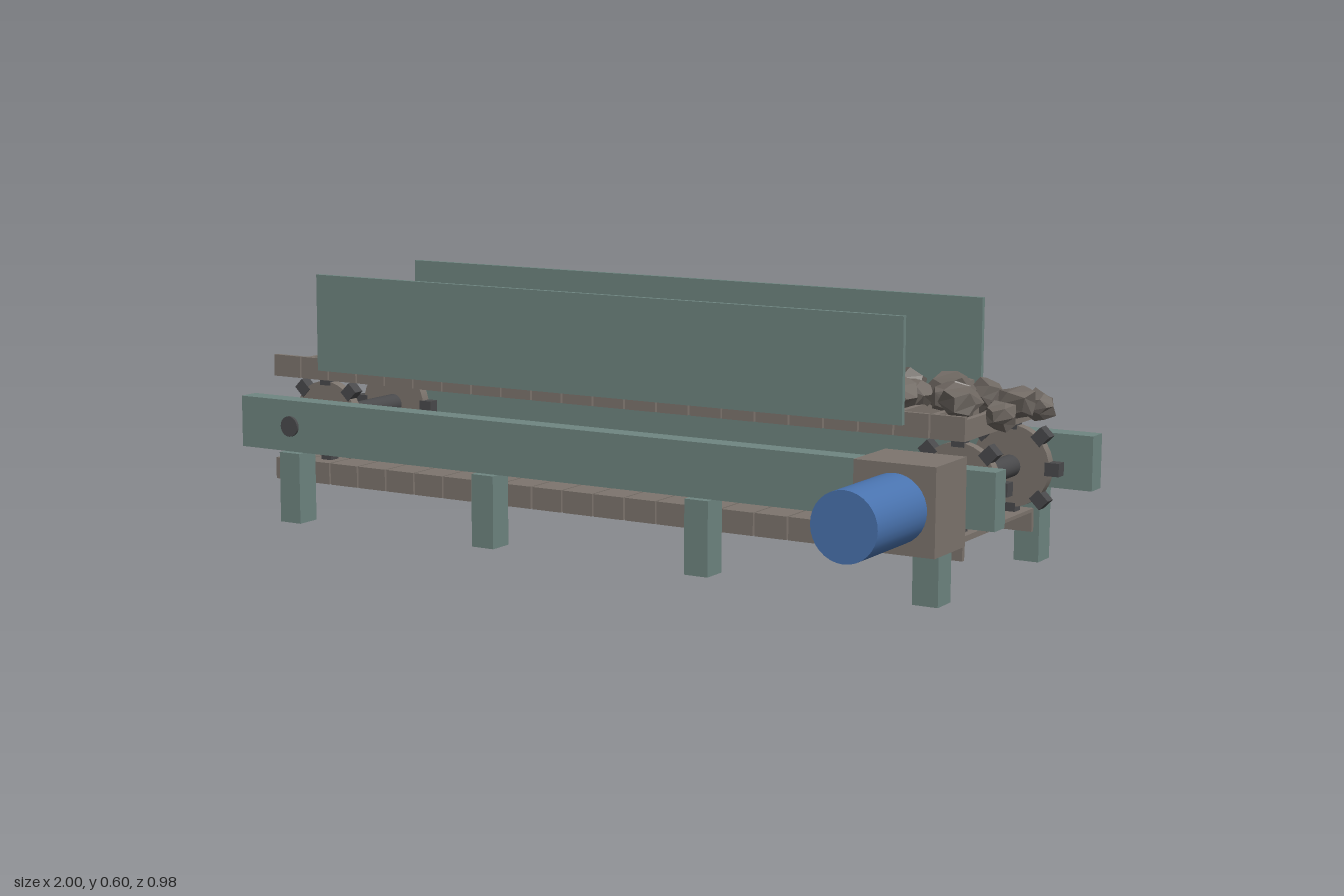
import * as THREE from 'three';

const material = (name, color, flat = false) => {
  const m = new THREE.MeshStandardMaterial({ color });
  m.name = name;
  m.flatShading = flat;
  return m;
};

// Small seeded generator for the rock shapes
const seeded = (seed) => () => {
  seed = (seed * 1664525 + 1013904223) % 4294967296;
  return seed / 4294967296;
};

export function createModel() {
  const root = new THREE.Group();
  root.name = 'apronFeeder';
  const green = material('frameGreen', 0x6f8681);
  const brown = material('panSteel', 0x7d756e);
  const dark = material('darkSteel', 0x4a4a4c);
  const blue = material('motorBlue', 0x4a74b0);
  const stone = material('stone', 0x6f6862, true);

  const add = (parent, name, geo, mat, x, y, z) => {
    const mesh = new THREE.Mesh(geo, mat);
    mesh.name = name;
    mesh.position.set(x, y, z);
    parent.add(mesh);
    return mesh;
  };
  const box = (parent, name, mat, w, h, d, x, y, z) =>
    add(parent, name, new THREE.BoxGeometry(w, h, d), mat, x, y, z);
  const rod = (parent, name, mat, r, length, x, y, z, sides = 24) =>
    add(parent, name, new THREE.CylinderGeometry(r, r, length, sides).rotateX(Math.PI / 2), mat, x, y, z);

  const midZ = -0.191, axleX = 0.85, axleY = 0.237;

  // Frame: rails, legs and side walls, mirrored about the belt
  for (const side of [1, -1]) {
    box(root, 'rail', green, 2, 0.125, 0.052, 0, 0.2375, midZ + side * 0.266);
    for (const x of [-0.85, -0.283, 0.29, 0.848])
      box(root, 'leg', green, 0.06, 0.172, 0.063, x, 0.086, midZ + side * 0.267);
    box(root, 'sideWall', green, 1.573, 0.235, 0.012, -0.042, 0.4825, midZ + side * 0.203);
  }

  // Shafts with toothed sprockets
  for (const x of [-axleX, axleX]) {
    rod(root, 'shaft', dark, 0.025, 0.596, x, axleY, -0.19);
    for (const z of [-0.051, -0.331]) {
      const sprocket = new THREE.Group();
      sprocket.name = 'sprocket';
      sprocket.position.set(x, axleY, z);
      rod(sprocket, 'sprocketDisc', brown, 0.093, 0.025, 0, 0, 0, 32);
      for (let i = 0; i < 8; i++) {
        const a = (i * Math.PI) / 4;
        const tooth = box(sprocket, 'tooth', dark, 0.034, 0.03, 0.029, Math.cos(a) * 0.1, Math.sin(a) * 0.1, 0);
        tooth.rotation.z = a;
      }
      root.add(sprocket);
    }
  }

  // Belt pans: thin plate, end flanges and a cleat; the return run hangs upside down
  const pitch = 0.0848, panW = 0.08;
  const makePan = (x, y, flip) => {
    const pan = new THREE.Group();
    pan.name = flip ? 'returnPan' : 'carryingPan';
    box(pan, 'panPlate', brown, panW, 0.008, 0.382, 0, 0.004, 0);
    for (const s of [1, -1])
      box(pan, 'panFlange', brown, panW, 0.053, 0.011, 0, 0.0265, s * 0.1855);
    box(pan, 'panCleat', brown, 0.014, 0.046, 0.362, 0.033, 0.023, 0);
    pan.position.set(x, y, midZ);
    if (flip) pan.rotation.z = Math.PI;
    root.add(pan);
  };
  for (let i = 0; i < 22; i++) {
    const x = -0.938 + i * pitch;
    makePan(x, 0.339, false);
    makePan(x, 0.134, true);
  }

  // Drive
  box(root, 'gearbox', brown, 0.187, 0.19, 0.148, 0.848, 0.236, 0.191);
  rod(root, 'motor', blue, 0.075, 0.225, 0.848, 0.236, 0.3775, 32);

  // Rocks: [x, z, radius], with the pile growing toward the drive end
  const rockSpots = [
    [-0.53, -0.28, 0.028], [-0.51, -0.1, 0.058], [-0.46, -0.15, 0.045], [-0.37, -0.31, 0.045],
    [-0.31, -0.29, 0.045], [-0.19, -0.31, 0.045], [-0.25, -0.28, 0.032], [-0.32, -0.16, 0.048],
    [-0.35, -0.09, 0.045], [-0.28, -0.1, 0.038], [-0.16, -0.21, 0.05], [-0.17, -0.09, 0.045],
    [-0.12, -0.07, 0.042], [-0.02, -0.26, 0.045], [0.05, -0.26, 0.05], [-0.02, -0.08, 0.045],
    [0.04, -0.09, 0.045], [0.1, -0.27, 0.03], [0.15, -0.2, 0.05], [0.18, -0.25, 0.045],
    [0.25, -0.24, 0.034], [0.17, -0.12, 0.036], [0.11, -0.07, 0.038], [0.27, -0.12, 0.036],
    [0.35, -0.26, 0.045], [0.36, -0.2, 0.038], [0.43, -0.29, 0.062], [0.48, -0.33, 0.05],
    [0.53, -0.29, 0.05], [0.43, -0.18, 0.058], [0.49, -0.2, 0.05], [0.39, -0.12, 0.045],
    [0.54, -0.22, 0.05], [0.57, -0.1, 0.045], [0.49, -0.08, 0.05], [0.62, -0.27, 0.045],
    [0.65, -0.23, 0.042], [0.66, -0.12, 0.05], [0.69, -0.17, 0.045], [0.72, -0.31, 0.045],
    [0.74, -0.23, 0.058], [0.78, -0.15, 0.045], [0.73, -0.28, 0.04], [0.8, -0.28, 0.042],
    [0.83, -0.1, 0.045], [0.89, -0.25, 0.048], [0.91, -0.12, 0.036], [0.93, -0.29, 0.038],
  ];
  const rand = seeded(11);
  const makeRock = ([x, z, r], i) => {
    const geo = new THREE.DodecahedronGeometry(r, 0);
    const pos = geo.attributes.position, seen = {};
    for (let k = 0; k < pos.count; k++) {
      const key = [pos.getX(k), pos.getY(k), pos.getZ(k)].map((v) => Math.round(v * 1e4)).join();
      const s = (seen[key] ??= 0.78 + rand() * 0.42);
      pos.setXYZ(k, pos.getX(k) * s, pos.getY(k) * s * 0.9, pos.getZ(k) * s);
    }
    geo.computeVertexNormals();
    const lift = x > 0.3 && x < 0.88 ? 0.012 + (i % 3) * 0.006 : 0.006;
    const rock = add(root, 'rock', geo, stone, x, 0.349 + r * 0.75 + lift, z);
    rock.rotation.y = rand() * Math.PI * 2;
  };
  rockSpots.forEach(makeRock);

  return root;
}
